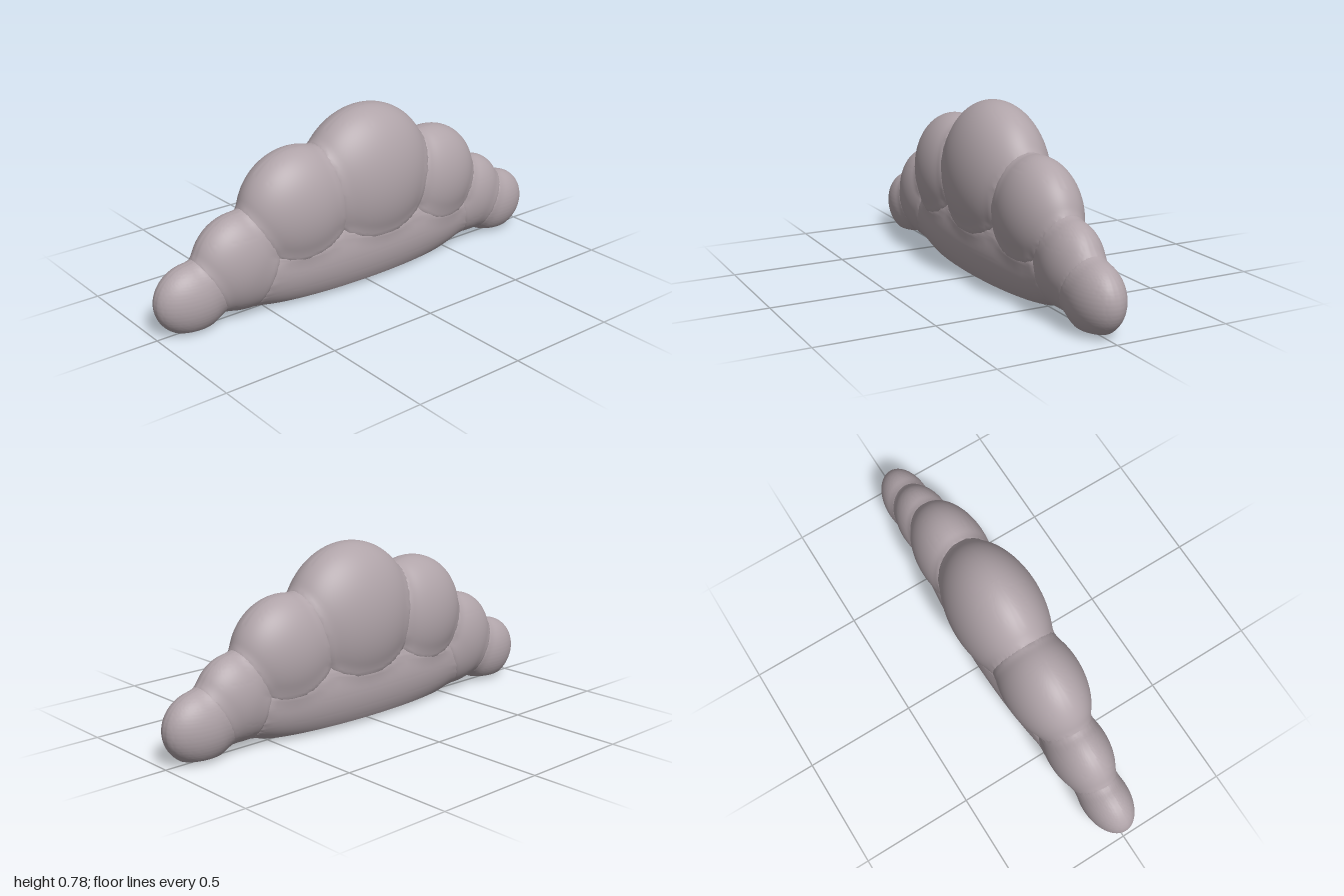
import * as THREE from 'three';
import { toCreasedNormals } from 'three/addons/utils/BufferGeometryUtils.js';

// Each puff: centre [y, z], radii [x, y, z], optional cut height and sag of its flat underside
const PUFFS = [
  { name: 'frontEndPuff', y: 0.14, z: 0.832, r: [0.105, 0.15, 0.168], cut: 0.02, sag: 0.008 },
  { name: 'frontSmallPuff', y: 0.237, z: 0.61, r: [0.132, 0.213, 0.212] },
  { name: 'frontLargePuff', y: 0.4, z: 0.32, r: [0.174, 0.266, 0.27] },
  { name: 'crownPuff', y: 0.45, z: -0.05, r: [0.2, 0.326, 0.325] },
  { name: 'backLargePuff', y: 0.36, z: -0.41, r: [0.16, 0.245, 0.25] },
  { name: 'backSmallPuff', y: 0.22, z: -0.665, r: [0.12, 0.186, 0.18] },
  { name: 'backEndPuff', y: 0.14, z: -0.832, r: [0.105, 0.15, 0.168], cut: 0.02, sag: 0.008 },
  { name: 'base', y: 0.17, z: 0, r: [0.15, 0.22, 0.75], cut: 0.02, sag: 0.02 },
];
const BLEND = 0.035;

// Approximate signed distance from a point to a puff's ellipsoid
function distanceTo(puff, p) {
  const [a, b, c] = puff.r;
  const x = p.x / a, y = (p.y - puff.y) / b, z = (p.z - puff.z) / c;
  const k0 = Math.hypot(x, y, z);
  return k0 * (k0 - 1) / Math.max(1e-6, Math.hypot(x / a, y / b, z / c));
}

function puffGeometry(puff) {
  const [rx, ry, rz] = puff.r;
  const profile = [];
  let start = -Math.PI / 2;
  // Shallow domed underside up to the rim of the cut
  if (puff.cut !== undefined) {
    start = Math.asin((puff.cut - puff.y) / ry);
    for (let i = 0; i < 8; i++) {
      const t = i / 8;
      const y = puff.cut - puff.sag * (1 - t * t);
      profile.push(new THREE.Vector2(t * Math.cos(start), (y - puff.y) / ry));
    }
  }
  // Rounded body
  const underside = profile.length;
  for (let i = 0; i <= 56; i++) {
    const a = start + (Math.PI / 2 - start) * i / 56;
    profile.push(new THREE.Vector2(Math.max(0, Math.cos(a)), Math.sin(a)));
  }
  const geometry = new THREE.LatheGeometry(profile, 80);
  geometry.scale(rx, ry, rz).translate(0, puff.y, puff.z);

  // Swell the surface slightly where it meets a neighbour, for a soft joint
  const position = geometry.attributes.position;
  const p = new THREE.Vector3(), n = new THREE.Vector3();
  for (let i = 0; i < position.count; i++) {
    if (i % profile.length <= underside && underside > 0) continue;
    p.fromBufferAttribute(position, i);
    let nearest = Infinity;
    for (const other of PUFFS) {
      if (other !== puff) nearest = Math.min(nearest, distanceTo(other, p));
    }
    const h = Math.max(0, BLEND - Math.abs(nearest));
    n.set(p.x / rx ** 2, (p.y - puff.y) / ry ** 2, (p.z - puff.z) / rz ** 2).normalize();
    p.addScaledVector(n, h * h / (4 * BLEND));
    position.setXYZ(i, p.x, Math.max(p.y, puff.cut ?? 0), p.z);
  }
  return toCreasedNormals(geometry, 0.6);
}

export function createModel() {
  const group = new THREE.Group();
  group.name = 'cloud';
  const material = new THREE.MeshStandardMaterial({ color: 0xb0a4a9 });
  material.name = 'mauve grey';
  for (const puff of PUFFS) {
    const mesh = new THREE.Mesh(puffGeometry(puff), material);
    mesh.name = puff.name;
    group.add(mesh);
  }
  return group;
}
